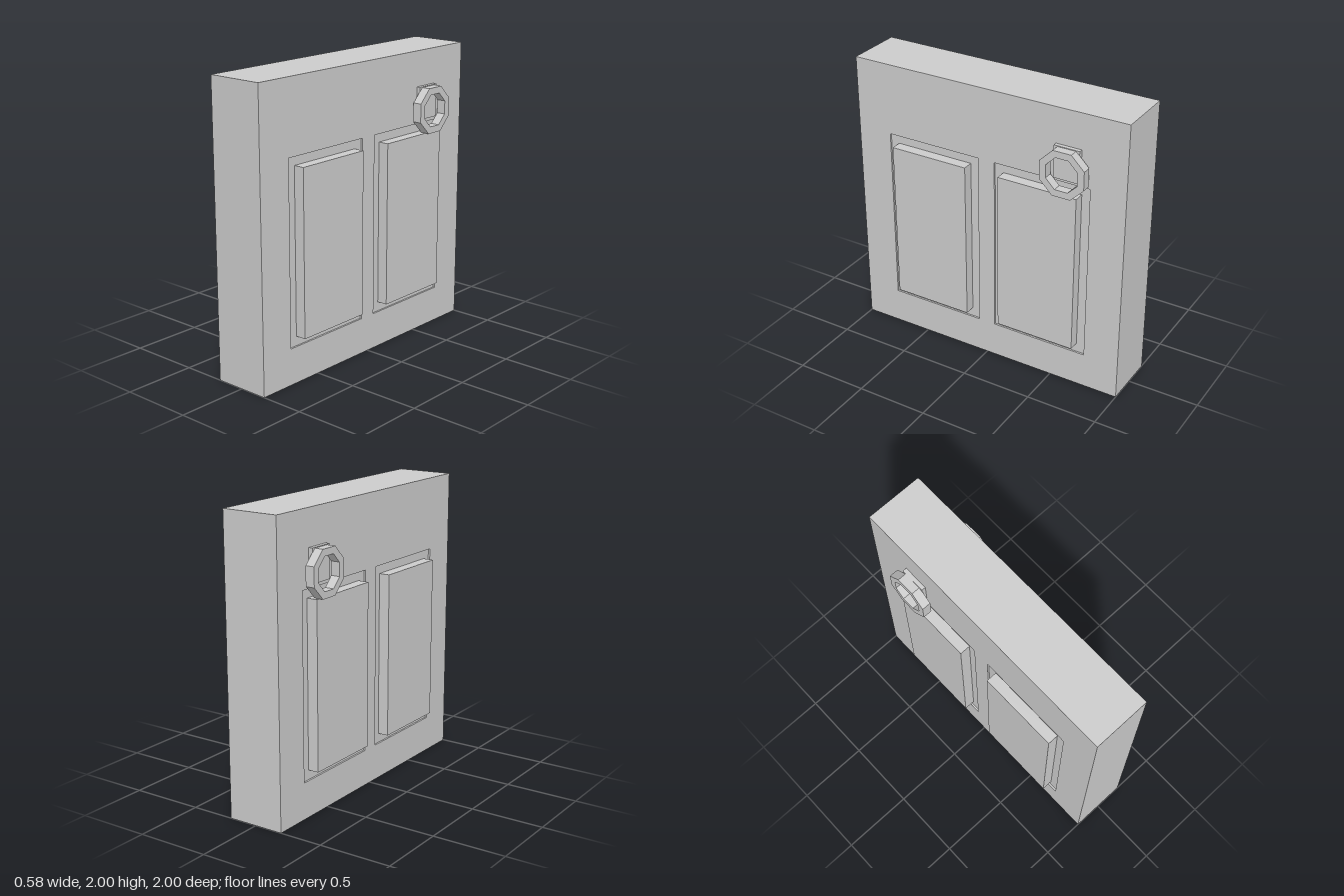
import * as THREE from 'three';

const material = new THREE.MeshStandardMaterial({ color: 0xcccccc, flatShading: true });
const HALF = 0.2; // half thickness of the door
const RECESS = 0.0125; // depth of the shallow panel recesses
const PANELS = [0.406, -0.406]; // z centres of the two panels

function add(parent, name, geometry, x = 0, y = 0, z = 0) {
  const mesh = new THREE.Mesh(geometry, material);
  mesh.name = name;
  mesh.position.set(x, y, z);
  parent.add(mesh);
  return mesh;
}

// Extrudes a shape drawn in (-z, y) so that its thickness runs along +x
function extrudeX(shape, depth) {
  return new THREE.ExtrudeGeometry(shape, { depth, bevelEnabled: false }).rotateY(Math.PI / 2);
}

function rectangle(Type, u0, u1, v0, v1) {
  return new Type([[u0, v0], [u1, v0], [u1, v1], [u0, v1]].map(([u, v]) => new THREE.Vector2(u, v)));
}

// Octagon with flat sides on the axes
function octagon(Type, apothem) {
  const radius = apothem / Math.cos(Math.PI / 8);
  const points = [];
  for (let i = 0; i < 8; i++) {
    const a = (i + 0.5) * Math.PI / 4;
    points.push(new THREE.Vector2(radius * Math.cos(a), radius * Math.sin(a)));
  }
  return new Type(points);
}

// One face of the door: skin with recesses, raised panels and ring handle
function createSide(name) {
  const side = new THREE.Group();
  side.name = name;

  const skin = rectangle(THREE.Shape, -1, 1, 0, 2);
  for (const z of PANELS) {
    skin.holes.push(rectangle(THREE.Path, -z - 0.345, -z + 0.345, 0.25, 1.5));
  }
  add(side, 'recessedFace', extrudeX(skin, RECESS), HALF - RECESS);

  for (const z of PANELS) {
    const depth = 0.0625 + RECESS;
    add(side, 'raisedPanel', new THREE.BoxGeometry(depth, 1.125, 0.565), HALF - RECESS + depth / 2, 0.8775, z);
  }

  // Handle mount and octagonal ring
  add(side, 'handleMount', new THREE.BoxGeometry(0.03, 0.225, 0.18), 0.213, 1.6425, -0.595);
  const ring = octagon(THREE.Shape, 0.156);
  ring.holes.push(octagon(THREE.Path, 0.11));
  add(side, 'handleRing', extrudeX(ring, 0.063), 0.225, 1.594, -0.595);
  return side;
}

export function createModel() {
  const model = new THREE.Group();
  model.name = 'door';
  add(model, 'doorCore', new THREE.BoxGeometry(2 * (HALF - RECESS), 2, 2), 0, 1, 0);

  model.add(createSide('leftSide'));

  // The other side mirrors the first
  const right = createSide('rightSide');
  right.scale.x = -1;
  model.add(right);
  return model;
}
